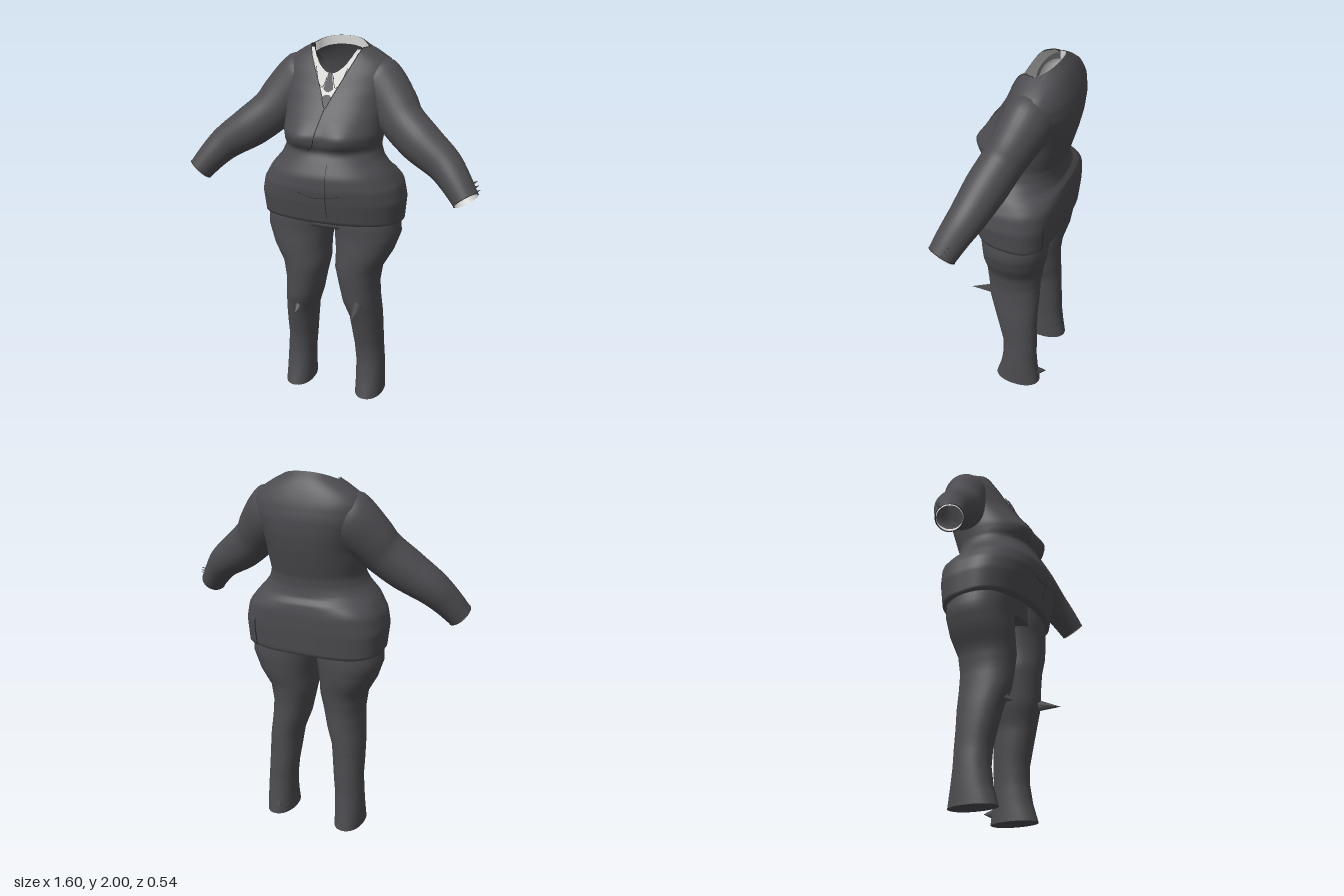
import * as THREE from 'three';

const mat = (name, color) => {
  const m = new THREE.MeshStandardMaterial({ color, side: THREE.DoubleSide });
  m.name = name;
  return m;
};
const V = (x, y, z) => new THREE.Vector3(x, y, z);
const { clamp, lerp } = THREE.MathUtils;

// Smooth surface from a grid of points; 'closed' joins last column to the first
function grid(rows, cols, fn, closed = true) {
  const n = closed ? cols : cols + 1, pos = [], idx = [];
  for (let i = 0; i <= rows; i++)
    for (let j = 0; j < n; j++) pos.push(...fn(i, j / cols).toArray());
  for (let i = 0; i < rows; i++)
    for (let j = 0; j < cols; j++) {
      const k = (j + 1) % n, a = i * n + j, b = i * n + k, c = a + n, d = b + n;
      idx.push(a, b, d, a, d, c);
    }
  const g = new THREE.BufferGeometry();
  g.setAttribute('position', new THREE.Float32BufferAttribute(pos, 3));
  g.setIndex(idx);
  g.computeVertexNormals();
  return g;
}

// Linear lookup in a table whose first column is the key
function look(table, y) {
  let i = 0;
  while (i < table.length - 2 && y > table[i + 1][0]) i++;
  const a = table[i], b = table[i + 1];
  const t = clamp((y - a[0]) / (b[0] - a[0]), 0, 1);
  return a.slice(1).map((v, k) => v + (b[k + 1] - v) * t);
}
const pw = (v, e) => Math.sign(v) * Math.abs(v) ** e;

// Torso: height, half width, front z, back z
const TORSO = [
  [1.07, .355, .2, -.21], [1.08, .378, .225, -.222], [1.2, .388, .25, -.236], [1.28, .37, .262, -.24],
  [1.34, .335, .26, -.233], [1.36, .32, .255, -.212], [1.42, .27, .225, -.205], [1.47, .25, .197, -.21],
  [1.5, .255, .212, -.22], [1.55, .262, .216, -.235], [1.62, .262, .184, -.255], [1.7, .275, .125, -.272],
  [1.78, .3, .078, -.277], [1.85, .3, .045, -.265], [1.9, .265, .02, -.248], [1.95, .185, 0, -.225],
  [1.97, .14, -.01, -.21], [2, .11, -.04, -.18]];
const E = .88;

// Point on the torso; a = 0 is the front, rising towards +x; the skirt back is squarer
function torso(a, y, scale = 1) {
  const [hw, zf, zb] = look(TORSO, y), cz = (zf + zb) / 2;
  const e = Math.cos(a) < 0 ? E - .28 * clamp((1.38 - y) / .08, 0, 1) : E;
  const x = hw * pw(Math.sin(a), e) * scale;
  let z = cz + (zf - zb) / 2 * pw(Math.cos(a), e) * scale;
  if (Math.cos(a) > 0)
    z += .028 * Math.exp(-(((Math.abs(x) - .12) / .09) ** 2) - ((y - 1.54) / .06) ** 2);
  return V(x, y + .09 * clamp((1.3 - y) / .2, 0, 1) * z, z);
}
// Point on the torso front above a given x and y
function onFront(x, y, lift = .003, scale = 1) {
  const s = clamp(x / (look(TORSO, y)[0] * scale), -1, 1);
  const p = torso(Math.asin(pw(s, 1 / E)), y, scale);
  p.z += lift;
  return p;
}
// Height at which the front surface meets an opening of half width w(y)
function edge(a, y0, y1, w) {
  for (let y = y0; y < y1; y += .002)
    if (look(TORSO, y)[0] * Math.abs(Math.sin(a)) ** E <= w(y)) return y;
  return y1;
}
const jacketTop = a => Math.cos(a) > 0
  ? edge(a, 1.68, 1.962, y => .14 * (y - 1.68) / .28)
  : 1.962 + .038 * (-Math.cos(a)) ** .7;
const shirtTop = a => edge(a, 1.84, 1.955, y => .103 * Math.sqrt((y - 1.84) / .085));

// Legs: height, centre x, half width, front z, back z
const LEG = [
  [0, .214, .08, .1, -.165], [.1, .213, .08, .07, -.15], [.2, .21, .079, .055, -.14], [.3, .202, .08, .06, -.14],
  [.4, .196, .085, .085, -.136], [.5, .189, .088, .112, -.137], [.6, .168, .1, .145, -.138], [.7, .155, .108, .155, -.138],
  [.8, .151, .127, .163, -.15], [.9, .179, .155, .165, -.178], [1, .191, .179, .16, -.192], [1.08, .186, .18, .165, -.19],
  [1.2, .17, .17, .15, -.17]];
// Arms: x, y, z, radius
const ARM = [
  [.1, 1.82, -.11, .11], [.2, 1.77, -.1, .155], [.295, 1.685, -.065, .132], [.36, 1.61, -.03, .117],
  [.47, 1.52, .01, .112], [.6, 1.43, .047, .093], [.67, 1.36, .083, .08], [.735, 1.28, .12, .068]];

export function createModel() {
  const root = new THREE.Group();
  root.name = 'suit';
  const suit = mat('charcoal cloth', 0x4c4b4f), seam = mat('dark seam', 0x29292c);
  const shirt = mat('white shirt', 0xd6d6d4), tieMat = mat('dark tie', 0x3b3b42);
  const add = (name, geo, m) => {
    const mesh = new THREE.Mesh(geo, m);
    mesh.name = name;
    root.add(mesh);
    return mesh;
  };
  const tube = (name, pts, r = .002) =>
    add(name, new THREE.TubeGeometry(new THREE.CatmullRomCurve3(pts), 48, r, 5), seam);
  const spike = (name, base, tip, r) => {
    const dir = tip.clone().sub(base), geo = new THREE.ConeGeometry(r, dir.length(), 4);
    const mesh = add(name, geo, suit);
    mesh.position.copy(base).add(tip).multiplyScalar(.5);
    mesh.quaternion.setFromUnitVectors(V(0, 1, 0), dir.normalize());
  };

  // Jacket body: level rows up to the chest, then rows that run out to the neckline
  const LOW = 38, HIGH = 18, TAU = Math.PI * 2;
  add('jacketBody', grid(LOW + HIGH, 96, (i, v) => {
    const a = v * TAU;
    if (i === 0) return torso(a, 1.07);
    const y = i <= LOW ? 1.08 + .54 * (i - 1) / (LOW - 1)
      : 1.62 + (jacketTop(a) - 1.62) * (i - LOW) / HIGH;
    return torso(a, y);
  }), suit);

  // Shirt front, upright collar lining at the back, tie and waistcoat tip
  add('shirtFront', grid(12, 64, (i, v) => {
    const a = -1.35 + 2.7 * v;
    return torso(a, 1.64 + (shirtTop(a) - 1.64) * i / 12, .965);
  }, false), shirt);
  add('collarLining', grid(3, 32, (i, v) => {
    const a = 1.6 + (TAU - 3.2) * v, p = torso(a, jacketTop(a), .96);
    p.y -= .045 * (1 - i / 3);
    return p;
  }, false), shirt);
  const patch = (name, prof, lift) => add(name, grid(prof.length - 1, 6, (i, v) =>
    onFront((v * 2 - 1) * prof[i][1], prof[i][0], lift, .965), false), tieMat);
  patch('tie', [[1.755, .006], [1.768, .026], [1.8, .019], [1.825, .012], [1.842, .014]], .006);
  patch('waistcoatTip', [[1.66, .004], [1.7, .012], [1.73, .026], [1.742, .012]], .006);
  for (const s of [-1, 1]) // collar points
    tube('collarPoint', [[.085, 1.87], [.055, 1.79], [.035, 1.775], [.015, 1.83]].map(
      ([x, y]) => onFront(s * x, y, .003, .965)), .0015);

  // Lapel edges, overlapping front edge and tailoring seams
  const rim = [];
  for (let k = 0; k <= 40; k++) {
    const a = -1.5 + 3 * k / 40;
    rim.push(torso(a, jacketTop(a)));
  }
  tube('lapelEdge', rim, .0025);
  tube('frontOverlap', [[0, 1.68], [-.012, 1.62], [-.025, 1.56], [-.04, 1.5], [-.07, 1.475]].map(
    p => onFront(...p, .001)), .0025);
  tube('frontSeam', [1.11, 1.2, 1.28, 1.34, 1.42].map(y => onFront(.045, y, 0)), .0015);
  tube('bellyCrease', [[-.1, 1.26], [-.04, 1.24], [.04, 1.24], [.12, 1.26]].map(p => onFront(...p, 0)), .0015);
  tube('backVent', [1.08, 1.12, 1.17, 1.22].map(y => torso(2.5, y)), .004);

  // Hips close the trousers under the jacket
  add('trouserSeat', grid(8, 48, (i, v) => {
    const a = v * TAU, k = i && .92;
    return V(.33 * k * Math.sin(a), 1.02 + .018 * i, -.015 + .165 * k * Math.cos(a));
  }), suit);

  const up = V(0, 0, 1);
  for (const s of [-1, 1]) {
    const side = s > 0 ? 'left' : 'right';

    // Trouser leg with a closed sole
    const ring = (y, v, k = 1) => {
      const [cx, hw, zf, zb] = look(LEG, y), a = v * TAU;
      return V(s * cx + k * hw * pw(Math.sin(a), .92), y,
        (zf + zb) / 2 + k * (zf - zb) / 2 * pw(Math.cos(a), .92));
    };
    add(side + 'TrouserLeg', grid(36, 40, (i, v) => ring(1.2 * i / 36, v)), suit);
    add(side + 'LegEnd', grid(1, 40, (i, v) => ring(0, v, i)), suit);

    // Sleeve, flatter at the shoulder, with a shirt cuff lining its end
    const curve = new THREE.CatmullRomCurve3(ARM.map(p => V(s * p[0], p[1], p[2])));
    const radii = ARM.map((p, k) => [k / (ARM.length - 1), p[3]]);
    const sleeve = (t, v, scale = 1, push = 0) => {
      const d = curve.getTangent(t), a = v * TAU, r = look(radii, t)[0] * scale;
      const b = up.clone().addScaledVector(d, -up.dot(d)).normalize();
      const n = b.clone().cross(d);
      return curve.getPoint(t).addScaledVector(d, push).addScaledVector(n, r * Math.cos(a))
        .addScaledVector(b, r * lerp(.79, 1.04, t) * Math.sin(a));
    };
    add(side + 'Sleeve', grid(36, 32, (i, v) => sleeve(i / 36, v)), suit);
    add(side + 'ShirtCuff', grid(2, 32, (i, v) => sleeve(.95 + .025 * i, v, .92, i === 2 ? .007 : 0)), shirt);
    tube(side + 'CuffEdge', [...Array(33)].map((_, k) => sleeve(1, k / 32)), .002);

    // Pointed cuff buttons on the outer edge
    for (let k = 0; k < 3; k++) {
      const base = V(s * (.752 + .01 * k), 1.355 - .018 * k, .075 + .012 * k);
      spike(side + 'CuffButton', base, base.clone().add(V(s * .026, .012, -.018)), .008);
    }
  }

  // Loose cloth points at the knees and ankle
  spike('leftKneePoint', V(.18, .61, .125), V(.19, .585, .262), .035);
  spike('rightKneePoint', V(-.17, .55, .11), V(-.17, .52, .168), .025);
  spike('leftAnklePoint', V(.2, .06, -.14), V(.175, .06, -.195), .03);
  return root;
}
